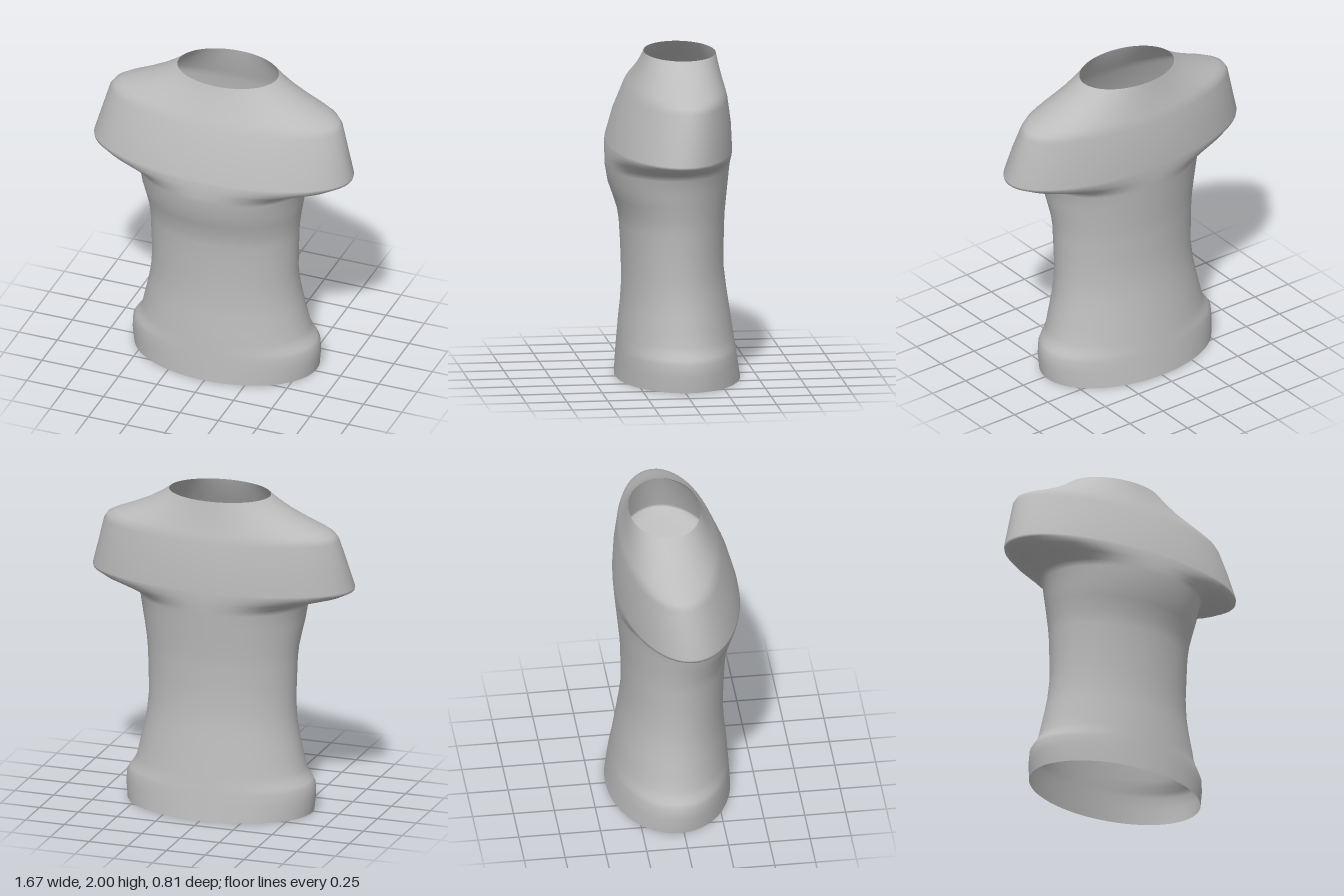
import * as THREE from 'three';

// Torso cross-sections: height, half width, front z, back z
const SECTIONS = [
  [0, 0.587, 0.352, -0.405], [0.1, 0.598, 0.346, -0.39], [0.17, 0.594, 0.341, -0.38],
  [0.2, 0.576, 0.339, -0.375], [0.23, 0.553, 0.337, -0.37], [0.27, 0.533, 0.334, -0.364],
  [0.35, 0.515, 0.328, -0.352], [0.45, 0.492, 0.317, -0.337], [0.55, 0.473, 0.311, -0.322],
  [0.68, 0.462, 0.311, -0.306], [0.82, 0.466, 0.316, -0.306], [0.95, 0.47, 0.324, -0.309],
  [1.03, 0.478, 0.335, -0.313], [1.12, 0.494, 0.365, -0.322], [1.2, 0.51, 0.393, -0.33],
  [1.3, 0.526, 0.41, -0.34], [1.335, 0.55, 0.41, -0.344], [1.37, 0.665, 0.409, -0.346],
  [1.4, 0.775, 0.406, -0.347], [1.428, 0.832, 0.402, -0.347], [1.445, 0.836, 0.399, -0.347],
  [1.6, 0.793, 0.356, -0.34], [1.75, 0.752, 0.293, -0.319], [1.785, 0.728, 0.277, -0.311],
  [1.81, 0.68, 0.264, -0.304], [1.85, 0.583, 0.243, -0.293], [1.9, 0.476, 0.217, -0.281],
  [1.95, 0.39, 0.195, -0.27], [1.98, 0.348, 0.182, -0.264], [2, 0.32, 0.175, -0.26],
];
const SIDES = 72;

// Joins elliptical rings into an open tube
function loft(sections, sides) {
  const positions = [];
  const index = [];
  sections.forEach(([y, halfWidth, front, back], row) => {
    const centre = (front + back) / 2;
    const depth = (front - back) / 2;
    for (let i = 0; i < sides; i++) {
      const angle = (i / sides) * Math.PI * 2;
      positions.push(halfWidth * Math.cos(angle), y, centre + depth * Math.sin(angle));
      if (row === sections.length - 1) continue;
      const a = row * sides + i;
      const b = row * sides + ((i + 1) % sides);
      index.push(a, a + sides, b, b, a + sides, b + sides);
    }
  });
  const geometry = new THREE.BufferGeometry();
  geometry.setAttribute('position', new THREE.Float32BufferAttribute(positions, 3));
  geometry.setIndex(index);
  geometry.computeVertexNormals();
  return geometry;
}

export function createModel() {
  const group = new THREE.Group();
  group.name = 'torsoShell';

  const grey = new THREE.MeshStandardMaterial({ color: 0xbcbcbc, side: THREE.DoubleSide });
  grey.name = 'plain grey';

  // One thin shell, open at the neck and the hem
  const torso = new THREE.Mesh(loft(SECTIONS, SIDES), grey);
  torso.name = 'torso';
  group.add(torso);
  return group;
}
